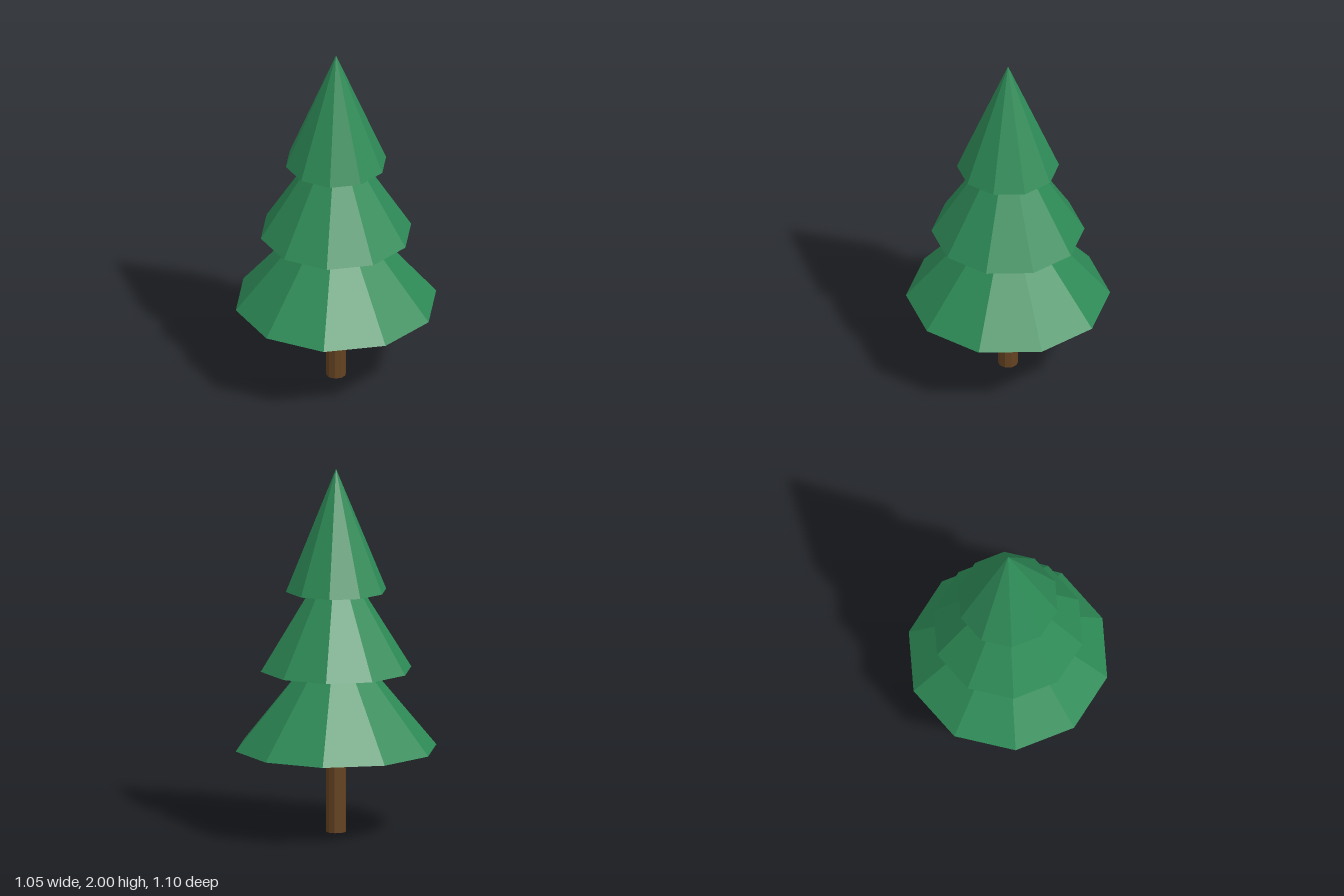
import * as THREE from 'three';

const SIDES = 10;

export function createModel() {
  const tree = new THREE.Group();
  tree.name = 'pineTree';

  const needleGreen = new THREE.MeshStandardMaterial({ color: 0x2e8b57 });
  needleGreen.name = 'needle green';
  const barkBrown = new THREE.MeshStandardMaterial({ color: 0x654321 });
  barkBrown.name = 'bark brown';

  // Adds a faceted part standing on height y
  const addPart = (name, geometry, height, y, material) => {
    const flat = geometry.toNonIndexed();
    flat.computeVertexNormals();
    const mesh = new THREE.Mesh(flat, material);
    mesh.name = name;
    mesh.position.y = y + height / 2;
    tree.add(mesh);
  };

  // Trunk, ending just below the foliage
  addPart('trunk', new THREE.CylinderGeometry(0.055, 0.055, 0.4, SIDES), 0.4, 0, barkBrown);

  // Three overlapping foliage cones of equal height, narrowing upwards
  const tierHeight = 0.67;
  const tiers = [
    ['lowerFoliage', 0.552, 0.46],
    ['middleFoliage', 0.414, 0.895],
    ['upperFoliage', 0.276, 1.33],
  ];
  for (const [name, radius, y] of tiers) {
    addPart(name, new THREE.ConeGeometry(radius, tierHeight, SIDES), tierHeight, y, needleGreen);
  }

  return tree;
}
